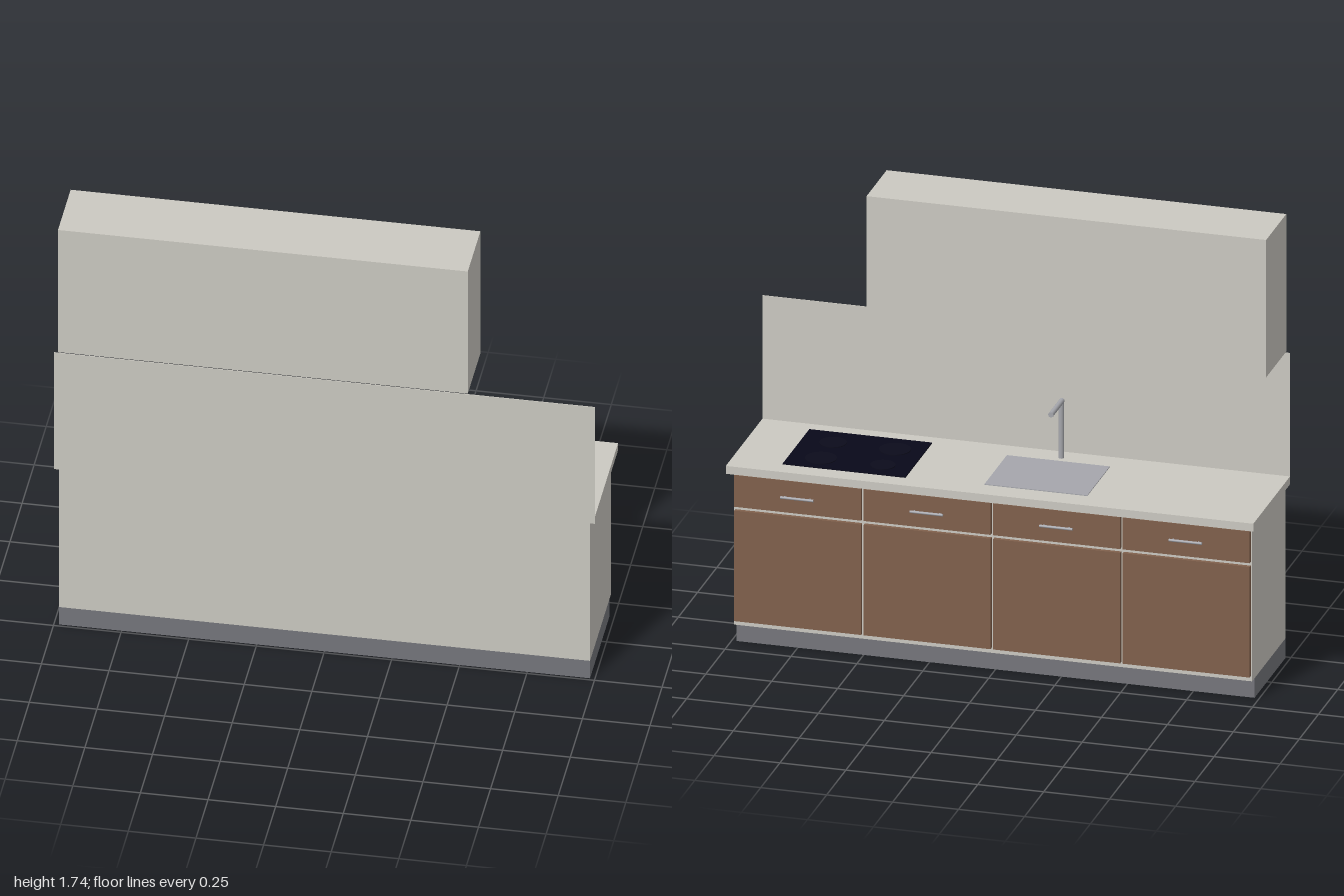
import * as THREE from 'three';

const mat = (name, color) => {
  const m = new THREE.MeshStandardMaterial({ color });
  m.name = name;
  return m;
};

export function createModel() {
  const cream = mat('cream', 0xcbc9c1);
  const wood = mat('wood', 0x80604c);
  const plinthGrey = mat('plinth grey', 0x75767c);
  const steel = mat('steel', 0xa5a6ac);
  const glass = mat('black glass', 0x080819);
  const ring = mat('burner black', 0x0c0c1c);

  const kitchen = new THREE.Group();
  kitchen.name = 'kitchenUnit';

  // Box given by its min and max on each axis
  const box = (name, m, [x0, x1], [y0, y1], [z0, z1], parent = kitchen) => {
    const mesh = new THREE.Mesh(new THREE.BoxGeometry(x1 - x0, y1 - y0, z1 - z0), m);
    mesh.position.set((x0 + x1) / 2, (y0 + y1) / 2, (z0 + z1) / 2);
    mesh.name = name;
    parent.add(mesh);
    return mesh;
  };
  // Round bar along one axis
  const bar = (name, m, r, length, axis, pos, parent = kitchen, sides = 20) => {
    const geo = new THREE.CylinderGeometry(r, r, length, sides);
    if (axis === 'x') geo.rotateZ(Math.PI / 2);
    if (axis === 'z') geo.rotateX(Math.PI / 2);
    const mesh = new THREE.Mesh(geo, m);
    mesh.position.set(...pos);
    mesh.name = name;
    parent.add(mesh);
    return mesh;
  };

  // Main carcass; the cabinet fronts face -z
  box('plinth', plinthGrey, [-0.982, 0.982], [0, 0.077], [-0.162, 0.24]);
  box('baseCabinet', cream, [-0.982, 0.982], [0.077, 0.685], [-0.194, 0.24]);
  box('worktop', cream, [-1, 1], [0.685, 0.716], [-0.24, 0.24]);
  box('backsplash', cream, [-1, 1], [0.716, 1.2], [0.237, 0.24]);
  box('wallCabinet', cream, [-0.985, 0.53], [1.204, 1.744], [-0.022, 0.24]);

  // Four columns, each with a door, a drawer and a handle
  const width = 0.491;
  for (let i = 0; i < 4; i++) {
    const unit = new THREE.Group();
    unit.name = 'cabinetFront' + (i + 1);
    kitchen.add(unit);
    const cx = (i - 1.5) * width;
    const span = [cx - width / 2 + 0.005, cx + width / 2 - 0.005];
    box('door', wood, span, [0.097, 0.531], [-0.209, -0.194], unit);
    box('drawerFront', wood, span, [0.546, 0.671], [-0.209, -0.194], unit);
    bar('handleBar', steel, 0.005, 0.125, 'x', [cx, 0.607, -0.219], unit, 12);
    for (const s of [-1, 1]) {
      bar('handlePost', steel, 0.004, 0.011, 'z', [cx + s * 0.048, 0.607, -0.2135], unit, 10);
    }
  }

  // Hob with four burners
  const hob = new THREE.Group();
  hob.name = 'hob';
  kitchen.add(hob);
  box('hobGlass', glass, [0.34, 0.805], [0.716, 0.72], [-0.168, 0.178], hob);
  for (const [x, z, r] of [[0.45, -0.083, 0.046], [0.685, -0.083, 0.058], [0.45, 0.075, 0.058], [0.685, 0.075, 0.05]]) {
    bar('burner', ring, r, 0.003, 'y', [x, 0.7215, z], hob, 32);
  }

  // Sink plate and tap
  box('sink', steel, [-0.345, 0.045], [0.716, 0.719], [-0.152, 0.14]);
  const tap = new THREE.Group();
  tap.name = 'tap';
  kitchen.add(tap);
  bar('tapRiser', steel, 0.01, 0.22, 'y', [-0.15, 0.826, 0.178], tap);
  bar('tapSpout', steel, 0.01, 0.146, 'z', [-0.15, 0.937, 0.115], tap);

  return kitchen;
}
